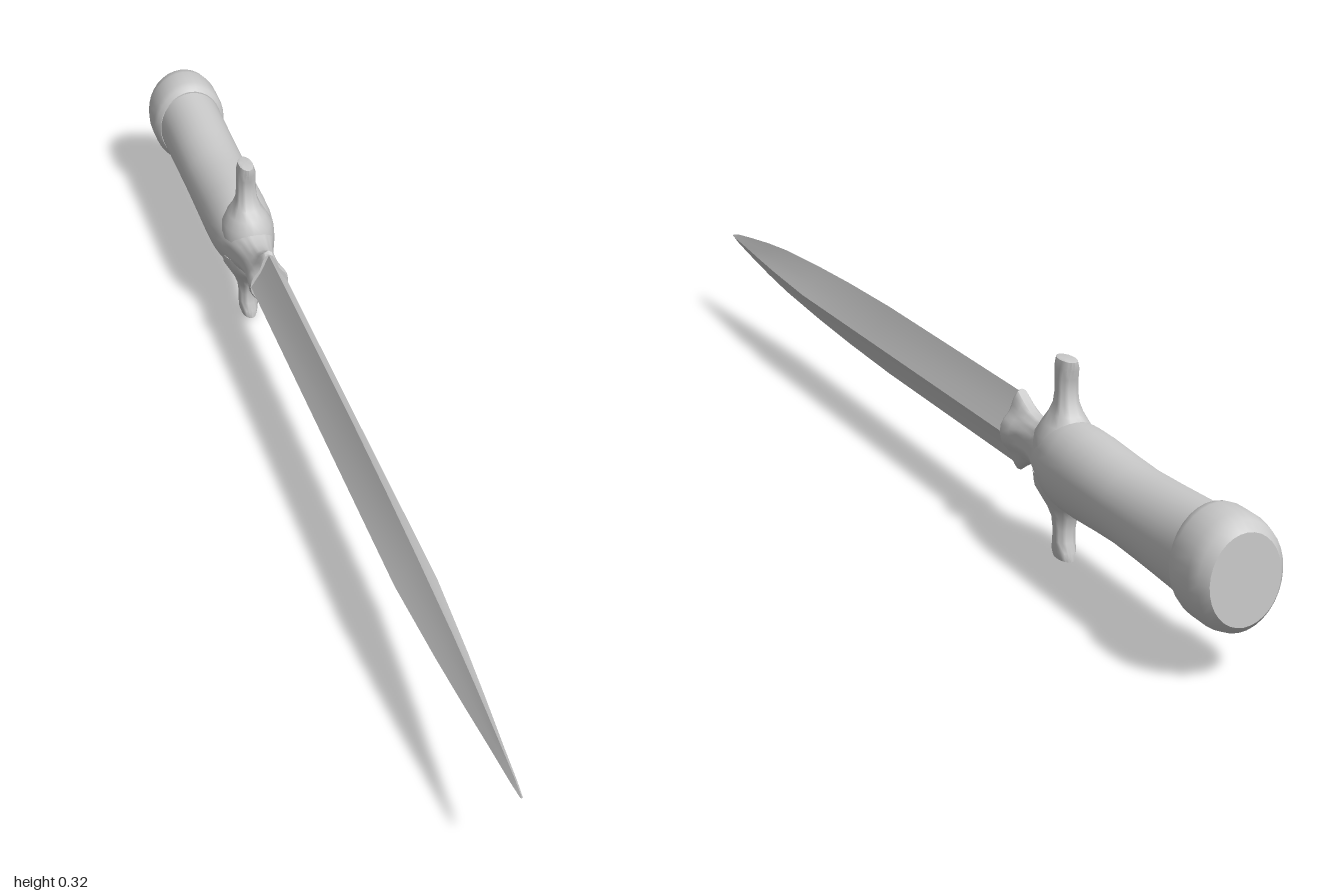
import * as THREE from 'three';
import { toCreasedNormals } from 'three/addons/utils/BufferGeometryUtils.js';

const material = new THREE.MeshStandardMaterial({ color: 0xcccccc });

// Loft along z through rings [z, halfWidth, halfHeight, pinch], listed from +z to -z.
// pinch 0 is an ellipse, about 0.3 a diamond, more is a hollow diamond.
function loft(name, rings, sides, crease) {
  const pos = [], index = [];
  for (const [z, rx, ry, pinch = 0] of rings) {
    for (let j = 0; j < sides; j++) {
      const t = (j / sides) * Math.PI * 2;
      const k = 1 - pinch * Math.sin(2 * t) ** 2;
      pos.push(rx * k * Math.cos(t), ry * k * Math.sin(t), z);
    }
  }
  const last = rings.length - 1;
  for (let i = 0; i < last; i++) {
    for (let j = 0; j < sides; j++) {
      const n = (j + 1) % sides;
      const a = i * sides + j, b = i * sides + n;
      index.push(a, a + sides, b + sides, a, b + sides, b);
    }
  }
  // End caps
  const c0 = pos.length / 3;
  pos.push(0, 0, rings[0][0], 0, 0, rings[last][0]);
  for (let j = 0; j < sides; j++) {
    const n = (j + 1) % sides;
    index.push(c0, j, n, c0 + 1, last * sides + n, last * sides + j);
  }
  const geometry = new THREE.BufferGeometry();
  geometry.setAttribute('position', new THREE.Float32BufferAttribute(pos, 3));
  geometry.setIndex(index);
  const mesh = new THREE.Mesh(toCreasedNormals(geometry, crease), material);
  mesh.name = name;
  return mesh;
}

export function createModel() {
  const model = new THREE.Group();
  model.name = 'dagger';
  const body = new THREE.Group();
  body.name = 'daggerBody';
  body.position.y = 0.167;
  model.add(body);

  // Hollow-ground double-edged blade
  body.add(loft('blade', [
    [1, 0.002, 0.002, 0.3],
    [0.97, 0.005, 0.009, 0.3],
    [0.9, 0.01, 0.019, 0.32],
    [0.8, 0.018, 0.032, 0.34],
    [0.7, 0.025, 0.042, 0.35],
    [0.53, 0.034, 0.052, 0.35],
    [0.38, 0.034, 0.058, 0.35],
    [0.2, 0.034, 0.062, 0.35],
    [-0.335, 0.034, 0.062, 0.35],
  ], 8, 0.75));

  // Collar, swelling shoulder and grip in one sweep
  body.add(loft('collarAndGrip', [
    [-0.318, 0.035, 0.064, 0.27],
    [-0.325, 0.037, 0.068, 0.25],
    [-0.345, 0.034, 0.055, 0.2],
    [-0.365, 0.031, 0.044, 0.1],
    [-0.39, 0.03, 0.039, 0.03],
    [-0.415, 0.034, 0.04],
    [-0.44, 0.042, 0.049],
    [-0.465, 0.05, 0.06],
    [-0.49, 0.056, 0.068],
    [-0.52, 0.06, 0.071],
    [-0.57, 0.061, 0.07],
    [-0.64, 0.061, 0.065],
    [-0.7, 0.061, 0.062],
    [-0.77, 0.061, 0.065],
    [-0.85, 0.061, 0.07],
    [-0.92, 0.061, 0.074],
  ], 32, 0.9));

  // Rounded pommel with a flat end
  body.add(loft('pommel', [
    [-0.905, 0.062, 0.076],
    [-0.912, 0.068, 0.084],
    [-0.925, 0.071, 0.087],
    [-0.967, 0.071, 0.087],
    [-0.987, 0.067, 0.082],
    [-1, 0.056, 0.069],
  ], 32, 0.7));

  // Two flared guard arms, up and down
  const armRings = [
    [0.1625, 0.009, 0.02],
    [0.161, 0.013, 0.026],
    [0.148, 0.017, 0.025],
    [0.132, 0.018, 0.019],
    [0.112, 0.018, 0.018],
    [0.092, 0.02, 0.022],
    [0.076, 0.026, 0.031],
    [0.06, 0.035, 0.044],
    [0.042, 0.045, 0.056],
    [0.02, 0.048, 0.058],
  ];
  for (const [name, turn] of [['upperGuardArm', -1], ['lowerGuardArm', 1]]) {
    const arm = loft(name, armRings, 20, 0.9);
    arm.rotation.x = turn * Math.PI / 2;
    arm.position.z = -0.475;
    body.add(arm);
  }
  return model;
}
